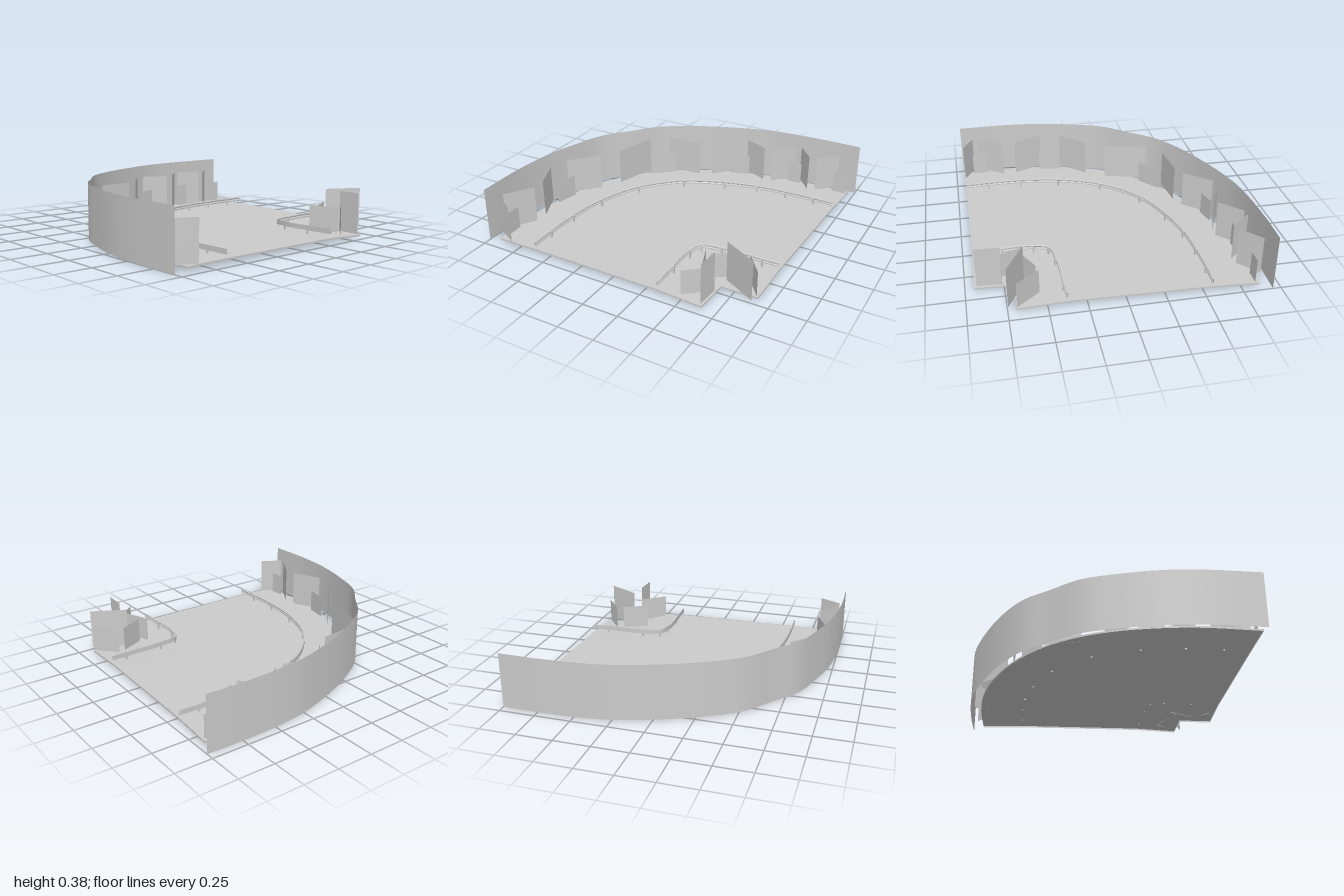
import * as THREE from 'three';

const material = new THREE.MeshStandardMaterial({ color: 0xcccccc, side: THREE.DoubleSide });

// Smooth plan curve through [x, z] points
const planCurve = (pts) => new THREE.CatmullRomCurve3(pts.map(([x, z]) => new THREE.Vector3(x, 0, z)), false, 'centripetal');

// Surface through rows of equally many points
function loft(rows) {
  const n = rows[0].length, pos = [], idx = [];
  rows.forEach((row) => row.forEach((p) => pos.push(p.x, p.y, p.z)));
  for (let r = 0; r < rows.length - 1; r++) {
    for (let i = 0; i < n - 1; i++) {
      const a = r * n + i, b = a + 1, c = a + n, d = c + 1;
      idx.push(a, b, c, b, d, c);
    }
  }
  const g = new THREE.BufferGeometry();
  g.setAttribute('position', new THREE.Float32BufferAttribute(pos, 3));
  g.setIndex(idx);
  g.computeVertexNormals();
  return g;
}

function add(parent, name, geometry) {
  const mesh = new THREE.Mesh(geometry, material);
  mesh.name = name;
  parent.add(mesh);
  return mesh;
}

const wallCurve = planCurve([[1, -.945], [.78, -.95], [.59, -.945], [.43, -.935], [.26, -.91], [0, -.83], [-.29, -.705],
  [-.53, -.55], [-.665, -.385], [-.82, -.19], [-.905, .04], [-.97, .29], [-1, .56], [-1, .94]]);
const edgeCurve = planCurve([[.965, -.865], [.78, -.87], [.56, -.865], [.3, -.835], [0, -.755], [-.32, -.6], [-.56, -.41],
  [-.72, -.2], [-.825, .03], [-.89, .29], [-.92, .56], [-.91, .935]]);
const outerRail = [[.945, -.555], [.8, -.56], [.58, -.555], [.355, -.535], [.11, -.475], [-.175, -.35], [-.43, -.09],
  [-.56, .22], [-.605, .51], [-.61, .76], [-.605, .935]];
const innerRail = [[.915, .38], [.8, .383], [.515, .39], [.375, .42], [.34, .52], [.33, .59], [.335, .73], [.34, .935]];

// Ground: verge, road and inner verge, with a lip all round
function buildGround(parent) {
  const N = 64;
  const sample = (curve, y) => curve.getSpacedPoints(N).map((p) => p.setY(y));
  const ends = [new THREE.Vector3(.91, .015, .695), new THREE.Vector3(.66, .015, .695), new THREE.Vector3(.65, .015, .94)];
  const inner = Array.from({ length: N + 1 }, (_, i) => {
    const t = i / N * 2, k = Math.min(1, Math.floor(t));
    return ends[k].clone().lerp(ends[k + 1], t - k);
  });
  const outerRow = sample(planCurve(outerRail), .035), innerRow = sample(planCurve(innerRail), .03);
  const road = [0, .25, .5, .75, 1].map((t) => outerRow.map((p, i) => p.clone().lerp(innerRow[i], t)));
  const rows = [sample(edgeCurve, .032), ...road, inner];
  add(parent, 'ground', loft(rows));

  const loop = [...rows[0], ...rows.map((r) => r[N]), ...[...inner].reverse(), ...rows.map((r) => r[0]).reverse()];
  add(parent, 'groundLip', loft([loop, loop.map((p) => p.clone().setY(p.y - .012))]));
}

// Guard rail: ribbed beam swept along the curve, with posts behind it
function buildRail(parent, name, points, postIndices, segments) {
  const group = new THREE.Group();
  group.name = name;
  const curve = planCurve(points);
  const profile = [[-.003, .056], [.004, .059], [.004, .067], [-.001, .071], [-.001, .076], [.004, .08], [.004, .087],
    [-.003, .09], [-.005, .09], [-.005, .056], [-.003, .056]];
  const rows = profile.map(([offset, y]) => Array.from({ length: segments + 1 }, (_, i) => {
    const t = i / segments, p = curve.getPointAt(t), d = curve.getTangentAt(t);
    return new THREE.Vector3(p.x + d.z * offset, y, p.z - d.x * offset);
  }));
  add(group, 'beam', loft(rows).toNonIndexed()).geometry.computeVertexNormals();
  for (const i of postIndices) {
    const t = i / (points.length - 1), p = curve.getPoint(t), d = curve.getTangent(t);
    const post = add(group, 'post', new THREE.BoxGeometry(.012, .06, .01));
    post.position.set(p.x - d.z * -.006, .055, p.z - d.x * .006);
    post.rotation.y = Math.atan2(-d.z, d.x);
  }
  parent.add(group);
}

// Upright flat panel between two plan points
function buildPanel(parent, name, [x1, z1, x2, z2], bottom, top) {
  const panel = add(parent, name, new THREE.PlaneGeometry(Math.hypot(x2 - x1, z2 - z1), top - bottom));
  panel.position.set((x1 + x2) / 2, (bottom + top) / 2, (z1 + z2) / 2);
  panel.rotation.y = Math.atan2(z1 - z2, x2 - x1);
}

export function createModel() {
  const model = new THREE.Group();
  model.name = 'roadCorner';

  buildGround(model);
  buildRail(model, 'outerGuardRail', outerRail, [1, 2, 3, 4, 5, 6, 7, 8, 9], 60);
  buildRail(model, 'innerGuardRail', innerRail, [1, 2, 3, 4, 6], 40);

  // Curved backdrop
  const foot = wallCurve.getSpacedPoints(60);
  add(model, 'backdropWall', loft([foot, foot.map((p) => p.clone().setY(.385))]));

  // Scenery panels on the outer verge
  const tallOuter = [[.725, -.79, .86, -.91], [.555, -.915, .67, -.775], [.37, -.765, .51, -.905], [.13, -.845, .31, -.76],
    [-.09, -.65, .065, -.83], [-.44, -.585, -.175, -.61], [-.645, -.17, -.555, -.485], [-.905, .155, -.725, -.03],
    [-.935, .31, -.84, .525], [-.96, .81, -.84, .62], [-.965, .85, -.815, .93]];
  const shortOuter = [[.85, -.84, .95, -.84], [.485, -.835, .59, -.838], [.045, -.755, .175, -.785], [-.515, -.42, -.36, -.55],
    [-.87, .33, -.835, .165], [-.89, .75, -.885, .86]];
  tallOuter.forEach((s) => buildPanel(model, 'tallSceneryPanel', s, .032, .3));
  shortOuter.forEach((s) => buildPanel(model, 'shortSceneryPanel', s, .032, .195));

  // Scenery panels at the inner corner
  const tallInner = [[.66, .62, .89, .745], [.645, .76, .635, .925]];
  const shortInner = [[.505, .605, .575, .8], [.555, .64, .73, .55], [.485, .9, .65, .76], [.78, .535, .9, .69]];
  tallInner.forEach((s) => buildPanel(model, 'tallSceneryPanel', s, .018, .3));
  shortInner.forEach((s) => buildPanel(model, 'shortSceneryPanel', s, .018, .195));
  return model;
}
